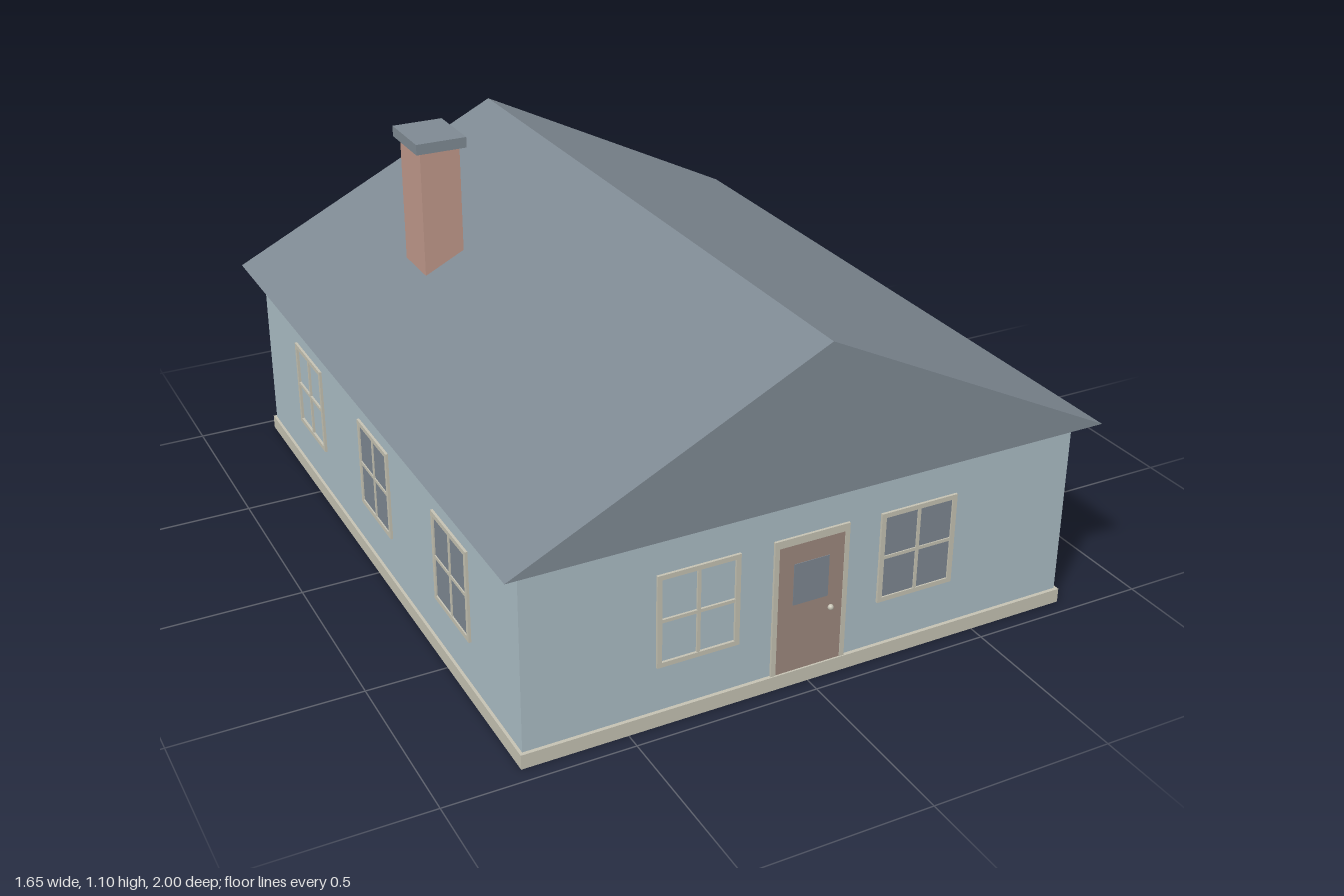
import * as THREE from 'three';

const mat = (name, color) => {
  const m = new THREE.MeshStandardMaterial({ color });
  m.name = name;
  return m;
};

export function createModel() {
  const house = new THREE.Group();
  house.name = 'house';
  const wallBlue = mat('wallBlue', 0xaabcc4);
  const roofGrey = mat('roofGrey', 0x7e8992);
  const trimCream = mat('trimCream', 0xc4c1b2);
  const brick = mat('brick', 0xbf988a);
  const doorBrown = mat('doorBrown', 0x9c877d);
  const glassGrey = mat('glassGrey', 0x7d8690);

  // Box given by its centre x, bottom y, centre z
  const box = (parent, name, m, w, h, d, x, y, z) => {
    const mesh = new THREE.Mesh(new THREE.BoxGeometry(w, h, d), m);
    mesh.name = name;
    mesh.position.set(x, y + h / 2, z);
    parent.add(mesh);
    return mesh;
  };

  // Body
  box(house, 'foundation', trimCream, 1.562, 0.04, 1.914, 0, 0, 0);
  box(house, 'walls', wallBlue, 1.546, 0.485, 1.894, 0, 0.04, 0);
  box(house, 'eaveTrim', trimCream, 1.562, 0.028, 1.904, 0, 0.518, 0);

  // Gabled roof prism with its ridge along z
  const gable = new THREE.Shape();
  gable.moveTo(-0.825, 0.545);
  gable.lineTo(0.825, 0.545);
  gable.lineTo(0, 0.953);
  gable.closePath();
  const roofGeo = new THREE.ExtrudeGeometry(gable, { depth: 2, bevelEnabled: false });
  roofGeo.translate(0, 0, -1);
  const roof = new THREE.Mesh(roofGeo, roofGrey);
  roof.name = 'roof';
  house.add(roof);

  // Chimney
  const chimney = new THREE.Group();
  chimney.name = 'chimney';
  box(chimney, 'chimneyStack', brick, 0.115, 0.41, 0.15, -0.433, 0.66, -0.38);
  box(chimney, 'chimneyCap', roofGrey, 0.145, 0.03, 0.18, -0.433, 1.07, -0.38);
  house.add(chimney);

  // Window: thin frame, cross bars and optional pane, centred on its own origin
  const W = 0.224, H = 0.256, T = 0.013, B = 0.009;
  const addWindow = (wall, x, glazed) => {
    const win = new THREE.Group();
    win.name = 'window';
    win.position.set(x, 0.294, 0);
    for (const s of [-1, 1]) {
      box(win, 'frameSide', trimCream, T, H, 0.008, s * (W - T) / 2, -H / 2, 0.003);
      box(win, 'frameRail', trimCream, W - 2 * T, T, 0.008, 0, s * (H - T) / 2 - T / 2, 0.003);
    }
    box(win, 'verticalBar', trimCream, B, H - 2 * T, 0.006, 0, -H / 2 + T, 0.003);
    box(win, 'crossBar', trimCream, W - 2 * T, B, 0.006, 0, -B / 2, 0.003);
    if (glazed) box(win, 'pane', glassGrey, W - 2 * T, H - 2 * T, 0.004, 0, -H / 2 + T, 0.001);
    wall.add(win);
  };

  // Four walls of windows; the first on each wall is a bare frame
  const fronts = [
    ['frontWall', 0, 0.947, [-0.311, 0.311]],
    ['leftWall', Math.PI / 2, 0.773, [-0.54, 0, 0.54]],
    ['backWall', Math.PI, 0.947, [-0.311, 0.311]],
    ['rightWall', -Math.PI / 2, 0.773, [-0.54, 0, 0.54]],
  ];
  for (const [name, angle, dist, xs] of fronts) {
    const wall = new THREE.Group();
    wall.name = name;
    wall.rotation.y = angle;
    wall.position.set(Math.sin(angle) * dist, 0, Math.cos(angle) * dist);
    xs.forEach((x, i) => addWindow(wall, x, i > 0));
    house.add(wall);
  }

  // Front door with its frame, window and knob
  const door = new THREE.Group();
  door.name = 'door';
  door.position.z = 0.947;
  for (const s of [-1, 1]) box(door, 'doorPost', trimCream, 0.013, 0.385, 0.008, s * 0.0995, 0.04, 0.003);
  box(door, 'doorLintel', trimCream, 0.186, 0.021, 0.008, 0, 0.404, 0.003);
  box(door, 'doorLeaf', doorBrown, 0.186, 0.364, 0.006, 0, 0.04, 0.002);
  box(door, 'doorPane', glassGrey, 0.1, 0.117, 0.004, 0, 0.232, 0.0045);
  const knob = new THREE.Mesh(new THREE.SphereGeometry(0.008, 12, 8), trimCream);
  knob.name = 'doorKnob';
  knob.position.set(0.06, 0.196, 0.007);
  door.add(knob);
  house.add(door);

  return house;
}
